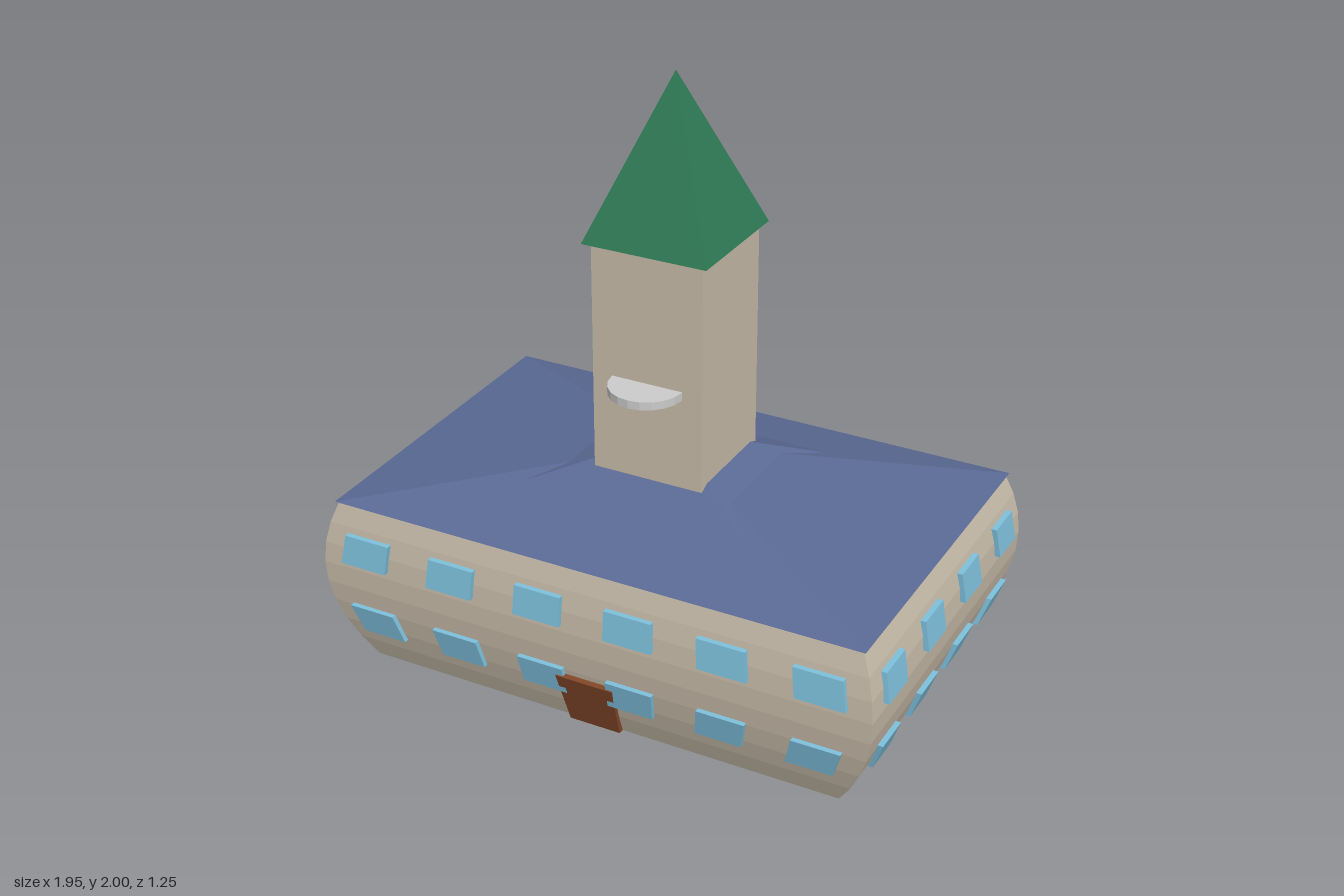
import * as THREE from 'three';

const mat = (color) => new THREE.MeshStandardMaterial({ color, flatShading: true });

// Barrel-like bulge: widths shrink away from the belly height
const bulge = (y) => 1 - 1.04 * (y - 0.36) ** 2;

function bulged(geometry) {
  const p = geometry.attributes.position;
  for (let i = 0; i < p.count; i++) {
    const s = bulge(p.getY(i));
    p.setX(i, p.getX(i) * s);
    p.setZ(i, p.getZ(i) * s);
  }
  geometry.computeVertexNormals();
  return geometry;
}

// Box by size and centre, optionally split along its height
function box(w, h, d, x, y, z, rows = 1) {
  return new THREE.BoxGeometry(w, h, d, 1, rows, 1).translate(x, y, z);
}

// Rectangular pyramid from half sizes, base height and apex height
function pyramid(hx, hz, y0, y1) {
  return new THREE.ConeGeometry(Math.SQRT2, y1 - y0, 4)
    .rotateY(Math.PI / 4)
    .scale(hx, 1, hz)
    .translate(0, (y0 + y1) / 2, 0);
}

export function createModel() {
  const model = new THREE.Group();
  const add = (name, geometry, material, parent = model) => {
    const mesh = new THREE.Mesh(geometry, material);
    mesh.name = name;
    parent.add(mesh);
  };

  const wall = mat(0xc8bcaa);
  const glass = mat(0x7ec0dc);
  const slate = mat(0x5a6a94);

  // Bulging main hall
  add('hall', bulged(box(1.92, 0.585, 1.22, 0, 0.2925, 0, 8)), wall);

  // Two rows of windows on all four sides, following the bulge
  const windows = new THREE.Group();
  windows.name = 'windows';
  model.add(windows);
  for (const y of [0.178, 0.44]) {
    for (const side of [-1, 1]) {
      for (let i = 0; i < 6; i++) {
        add('longSideWindow', bulged(box(0.165, 0.1, 0.03, (i - 2.5) * 0.32, y, side * 0.613)), glass, windows);
      }
      for (let i = 0; i < 4; i++) {
        add('endWindow', bulged(box(0.03, 0.1, 0.14, side * 0.963, y, (i - 1.5) * 0.305)), glass, windows);
      }
    }
  }

  // Front door
  add('door', bulged(box(0.205, 0.2, 0.05, 0, 0.1, 0.607)), mat(0x85492a));

  // Hipped roof with a steeper rise around the tower
  add('roof', pyramid(0.92, 0.588, 0.586, 0.746), slate);
  add('roofRise', pyramid(0.6, 0.48, 0.59, 0.793), slate);

  // Tower, its pointed cap and the round balcony
  add('tower', box(0.38, 0.88, 0.38, 0, 1.04, 0), wall);
  add('towerCap', pyramid(0.212, 0.212, 1.48, 2), mat(0x2f7a55));
  add('balcony', new THREE.CylinderGeometry(0.122, 0.122, 0.027, 20).translate(0, 1.034, 0.192), mat(0xcccccc));

  return model;
}
